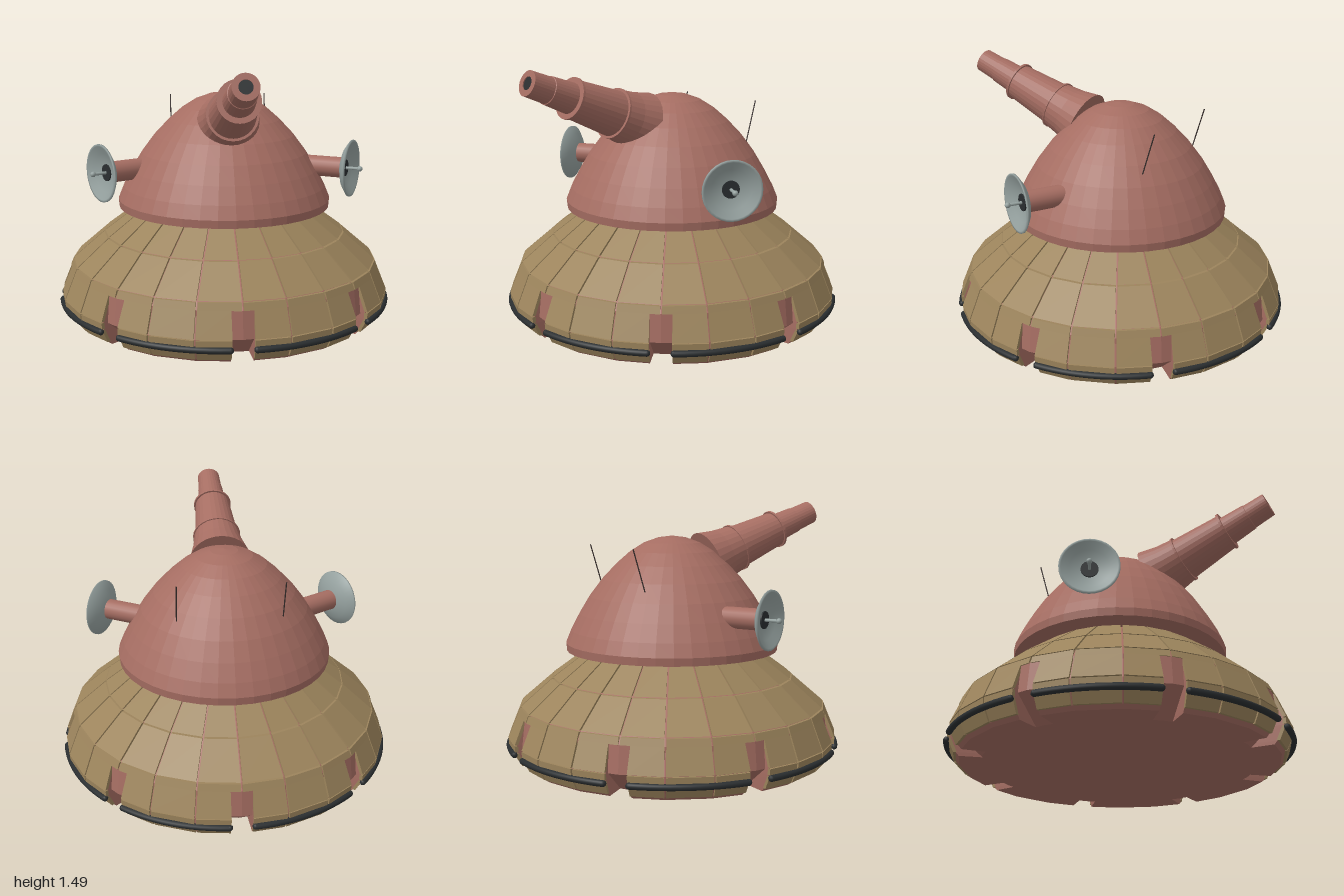
import * as THREE from 'three';
import { mergeGeometries } from 'three/addons/utils/BufferGeometryUtils.js';

const mat = (name, color) => {
  const m = new THREE.MeshStandardMaterial({ color });
  m.name = name;
  return m;
};

const SECTORS = 24;
const STEP = (Math.PI * 2) / SECTORS;

// Facets a geometry so every face is flat
function flat(geo) {
  const g = geo.index ? geo.toNonIndexed() : geo;
  g.computeVertexNormals();
  return g;
}

function lathe(points, segments) {
  return new THREE.LatheGeometry(points.map(([r, y]) => new THREE.Vector2(r, y)), segments);
}

// Point on the flat side of one sector, pulled in from its seams by gaps ga and gb
function edgePoints(k, r, y, ga, gb) {
  const at = (a) => new THREE.Vector3(r * Math.sin(a), y, r * Math.cos(a));
  const a = at(k * STEP), b = at((k + 1) * STEP);
  const len = a.distanceTo(b);
  return [a.clone().lerp(b, ga / len), b.clone().lerp(a, gb / len)];
}

// Solid plate filling one sector of one row, from outer radii down to inner radii
function plate(k, [r0, y0, r1, y1], in0, in1, ga, gb) {
  const [a, b] = edgePoints(k, r0, y0, ga, gb);
  const [d, c] = edgePoints(k, r1, y1, ga, gb);
  const shrink = (p, from, to) => new THREE.Vector3(p.x * to / from, p.y, p.z * to / from);
  const v = [a, b, c, d, shrink(a, r0, in0), shrink(b, r0, in0), shrink(c, r1, in1), shrink(d, r1, in1)];
  const quads = [[0, 1, 2, 3], [5, 4, 7, 6], [4, 5, 1, 0], [3, 2, 6, 7], [1, 5, 6, 2], [4, 0, 3, 7]];
  const pos = [];
  for (const [i, j, m, n] of quads) for (const q of [i, j, m, i, m, n]) pos.push(...v[q].toArray());
  const g = new THREE.BufferGeometry();
  g.setAttribute('position', new THREE.Float32BufferAttribute(pos, 3));
  g.computeVertexNormals();
  return g;
}

// A ring of plates; every third seam is widened into a notch where asked
function plateRing(row, in0, in1, gap, notch) {
  const list = [];
  for (let k = 0; k < SECTORS; k++) {
    const ga = notch && k % 3 === 0 ? notch : gap;
    const gb = notch && k % 3 === 2 ? notch : gap;
    list.push(plate(k, row, in0, in1, ga, gb));
  }
  return list;
}

export function createModel() {
  const red = mat('dusty red', 0xa56d62);
  const tan = mat('tan', 0x9c845c);
  const black = mat('black', 0x2a2e30);
  const grey = mat('dish grey', 0x96a2a0);
  const dark = mat('dark brown', 0x3c3230);

  const model = new THREE.Group();
  const body = new THREE.Group();
  body.name = 'body';
  body.position.z = -0.01;
  model.add(body);

  const add = (parent, name, geo, material) => {
    const m = new THREE.Mesh(geo, material);
    m.name = name;
    parent.add(m);
    return m;
  };

  // Inner hull, also the floor of the notches
  add(body, 'hullCore', flat(lathe([[0, 0], [0.77, 0], [0.93, 0.13], [0.912, 0.28], [0.885, 0.32],
    [0.695, 0.475], [0.48, 0.635], [0, 0.635]], SECTORS)), red);

  // Notched lower hull blocks
  const NOTCH = 0.06;
  const hull = [[0.9, 0], [0.918, 0.02], [0.96, 0.1], [0.96, 0.14], [0.904, 0.28]];
  const blocks = [];
  for (let i = 0; i < hull.length - 1; i++) {
    blocks.push(...plateRing([...hull[i], ...hull[i + 1]], 0.75, 0.75, 0, NOTCH));
  }
  add(body, 'lowerHull', mergeGeometries(blocks), red);

  // Armour plates: [bottom radius, y, top radius, y], notched or not
  const rows = [
    [[0.932, 0.02, 0.97, 0.098], NOTCH],
    [[0.972, 0.104, 0.974, 0.138], NOTCH],
    [[0.974, 0.144, 0.918, 0.28], NOTCH],
    [[0.918, 0.28, 0.903, 0.318], 0],
    [[0.897, 0.325, 0.716, 0.48], 0],
    [[0.709, 0.487, 0.5, 0.64], 0],
  ];
  const plates = rows.flatMap(([row, notch]) =>
    plateRing(row, row[0] - 0.02, row[2] - 0.02, 0.005, notch));
  add(body, 'armourPlates', mergeGeometries(plates), tan);

  // Bumper tube in eight arcs with rounded ends
  const R = 0.967, T = 0.018, start = 0.072, arc = Math.PI / 4 - 2 * start;
  for (let i = 0; i < 8; i++) {
    const piece = new THREE.Group();
    piece.name = 'bumper';
    piece.position.y = 0.088;
    piece.rotation.y = i * Math.PI / 4;
    add(piece, 'bumperTube', new THREE.TorusGeometry(R, T, 10, 12, arc).rotateX(Math.PI / 2), black);
    for (const a of [start - start, arc]) {
      add(piece, 'bumperEnd', new THREE.SphereGeometry(T, 10, 8)
        .translate(R * Math.cos(a), 0, R * Math.sin(a)), black);
    }
    piece.rotation.y -= start;
    body.add(piece);
  }

  // Dome
  add(body, 'dome', flat(lathe([[0, 0.635], [0.622, 0.635], [0.626, 0.68], [0.595, 0.755], [0.545, 0.85],
    [0.485, 0.95], [0.41, 1.05], [0.325, 1.14], [0.245, 1.21], [0.165, 1.26], [0.08, 1.29], [0, 1.3]], 40)), red);

  // Gun, built along y and then pitched forward
  const gun = new THREE.Group();
  gun.name = 'gun';
  gun.position.set(0, 1.143, 0.227);
  gun.rotation.x = Math.PI / 2 - THREE.MathUtils.degToRad(20.8);
  model.add(gun);
  const sections = [
    ['gunMantlet', [[0, 0], [0.18, 0], [0.152, 0.11], [0.138, 0.21], [0, 0.21]]],
    ['gunSleeve', [[0, 0.2], [0.132, 0.2], [0.106, 0.52], [0, 0.52]]],
    ['gunBarrel', [[0.088, 0.5], [0.078, 0.67], [0.074, 0.672], [0.07, 0.8], [0.037, 0.8], [0.037, 0.77]]],
    ['gunCollar', [[0.13, 0.205], [0.145, 0.205], [0.145, 0.217], [0.125, 0.217]]],
    ['gunCollar', [[0.1, 0.508], [0.117, 0.508], [0.117, 0.522], [0.08, 0.522]]],
  ];
  for (const [name, pts] of sections) add(gun, name, flat(lathe(pts, 28)), red);
  add(gun, 'gunBore', new THREE.CylinderGeometry(0.037, 0.037, 0.02, 24).translate(0, 0.784, 0), black);

  // Dishes on side arms, and rear aerials
  for (const s of [1, -1]) {
    const dish = new THREE.Group();
    dish.name = s > 0 ? 'leftDish' : 'rightDish';
    dish.position.set(s * 0.71, 0.87, 0.2);
    dish.rotation.y = s * Math.PI / 3;
    model.add(dish);
    const part = (name, geo, m) => add(dish, name, geo.rotateX(Math.PI / 2), m);
    part('dishArm', new THREE.CylinderGeometry(0.06, 0.06, 0.27, 20).translate(0, -0.17, 0), red);
    part('dishBowl', lathe([[0, -0.05], [0.06, -0.045], [0.12, -0.025], [0.165, 0.005], [0.165, 0.014],
      [0.152, 0.014], [0.11, -0.012], [0.05, -0.03], [0, -0.033]], 32), grey);
    part('dishHub', new THREE.CylinderGeometry(0.048, 0.048, 0.008, 20).translate(0, -0.025, 0), black);
    part('dishFeed', new THREE.CylinderGeometry(0.009, 0.009, 0.09, 10).translate(0, 0.015, 0), grey);
    part('dishFeedTip', new THREE.SphereGeometry(0.016, 12, 8).translate(0, 0.06, 0), grey);

    const path = new THREE.LineCurve3(new THREE.Vector3(s * 0.295, 1.0, -0.33),
      new THREE.Vector3(s * 0.295, 1.245, -0.403));
    add(model, 'aerial', new THREE.TubeGeometry(path, 1, 0.0035, 6), dark);
  }
  return model;
}
